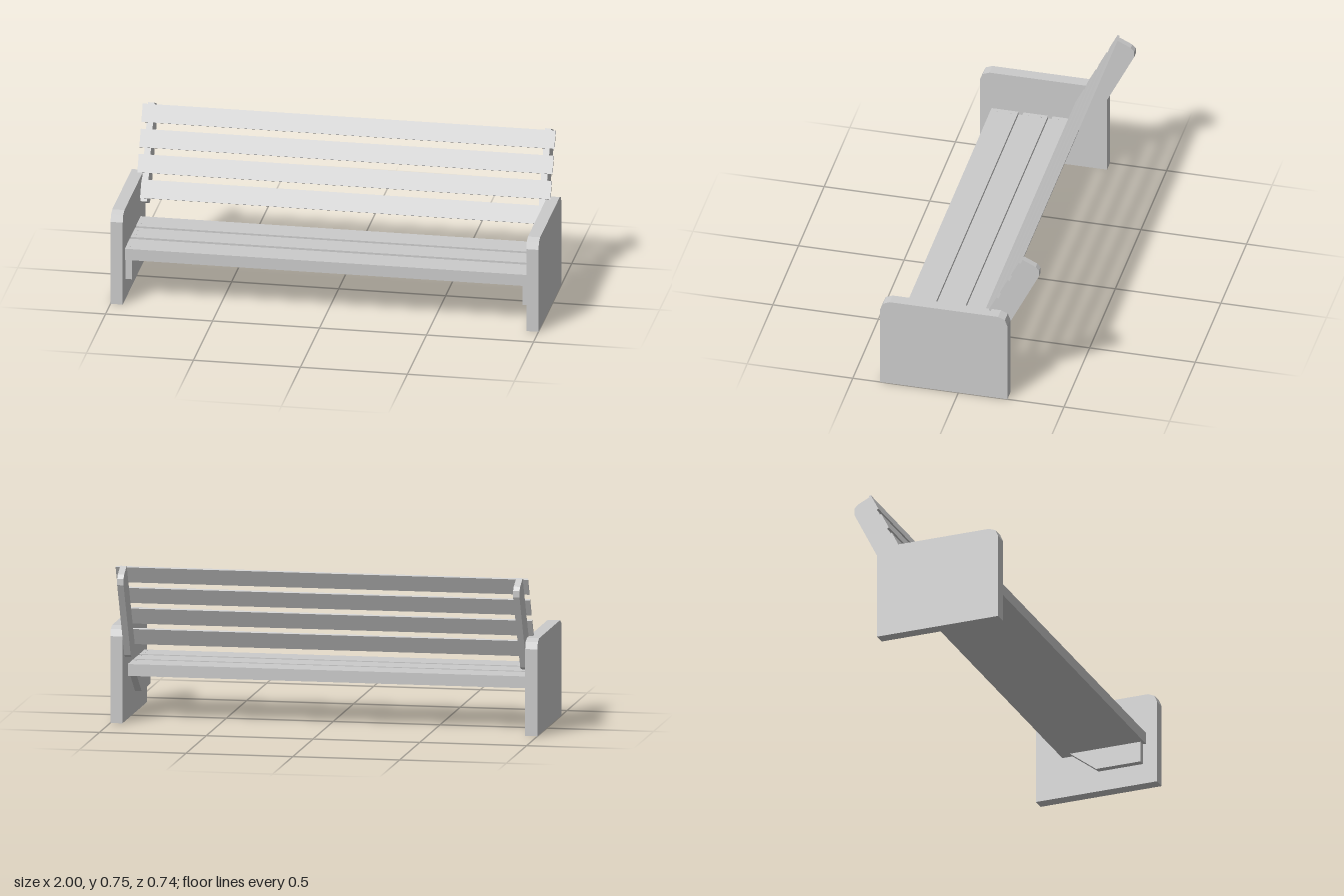
import * as THREE from 'three';

const material = new THREE.MeshStandardMaterial({ color: 0xcccccc, flatShading: true });

function add(group, name, geometry) {
  const mesh = new THREE.Mesh(geometry, material);
  mesh.name = name;
  group.add(mesh);
  return mesh;
}

// Extrudes a [z, y] side profile across x from x0 to x1
function sideProfile(points, x0, x1) {
  const shape = new THREE.Shape(points.map(([z, y]) => new THREE.Vector2(z, y)));
  const geometry = new THREE.ExtrudeGeometry(shape, { depth: x1 - x0, bevelEnabled: false });
  return geometry.rotateY(-Math.PI / 2).translate(x1, 0, 0);
}

function box(x0, x1, y0, y1, z0, z1) {
  return new THREE.BoxGeometry(x1 - x0, y1 - y0, z1 - z0)
    .translate((x0 + x1) / 2, (y0 + y1) / 2, (z0 + z1) / 2);
}

const panelProfile = [
  [0.37, 0], [0.37, 0.405], [0.357, 0.437], [0.325, 0.45],
  [-0.188, 0.45], [-0.22, 0.437], [-0.232, 0.405], [-0.232, 0],
];
const postProfile = [
  [-0.29, 0.745], [-0.352, 0.715], [-0.368, 0.697], [-0.368, 0.667],
  [-0.192, 0.313], [-0.17, 0.3], [-0.147, 0.304], [-0.085, 0.335],
];
const bracketProfile = [[0.3, 0.2], [0.3, 0.1], [0.08, 0.1], [-0.05, 0.2]];

export function createModel() {
  const bench = new THREE.Group();
  bench.name = 'bench';

  // End panels, back posts and seat brackets, mirrored
  for (const [side, s] of [['left', 1], ['right', -1]]) {
    const place = (name, profile, a, b) =>
      add(bench, side + name, sideProfile(profile, Math.min(s * a, s * b), Math.max(s * a, s * b)));
    place('EndPanel', panelProfile, 0.943, 1);
    place('BackPost', postProfile, 0.912, 0.942);
    place('SeatBracket', bracketProfile, 0.912, 0.943);
  }

  // Seat slab with three raised boards separated by shallow grooves
  add(bench, 'seatBase', box(-0.943, 0.943, 0.2, 0.24, -0.1, 0.315));
  const boards = [[0.187, 0.315], [0.047, 0.164], [-0.1, 0.026]];
  for (const [z0, z1] of boards) {
    add(bench, 'seatBoard', box(-0.943, 0.943, 0.24, 0.255, z0, z1));
    // Small screw heads near each board end
    for (const x of [-0.925, 0.925]) for (const t of [0.25, 0.75]) {
      add(bench, 'screwHead', new THREE.CylinderGeometry(0.004, 0.004, 0.002, 8))
        .position.set(x, 0.2555, z0 + (z1 - z0) * t);
    }
  }

  // Back slats lying on the leaning front edge of the posts
  const lean = Math.atan(0.5), thickness = 0.01;
  for (let i = 0; i < 4; i++) {
    const y = 0.386 + i * 0.1045;
    const slat = add(bench, 'backSlat',
      new THREE.BoxGeometry(i === 0 ? 1.886 : 1.93, 0.085, thickness));
    slat.position.set(0, y + Math.sin(lean) * thickness / 2,
      -0.29 + (0.745 - y) / 2 + Math.cos(lean) * thickness / 2);
    slat.rotation.x = -lean;
  }
  return bench;
}
